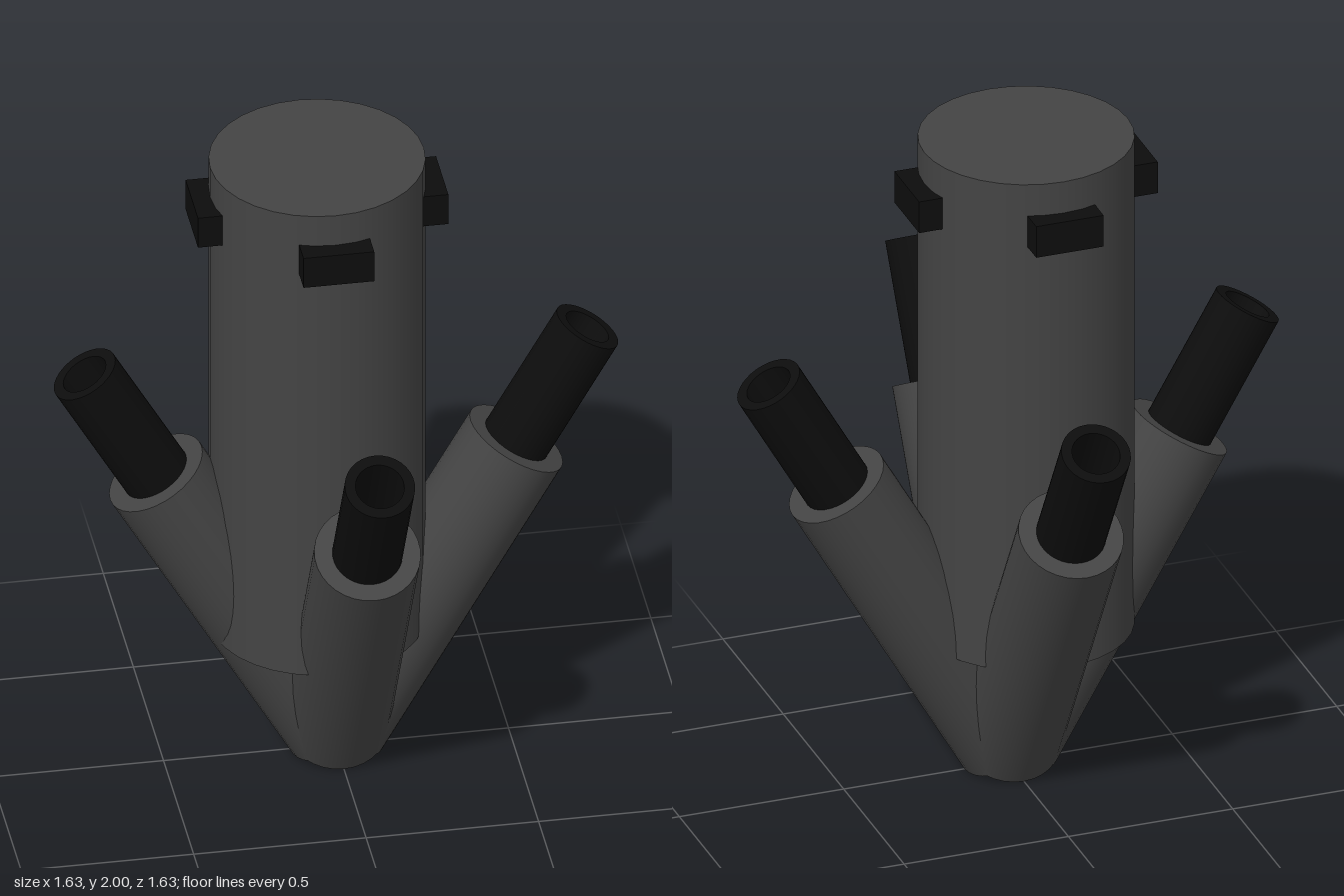
import * as THREE from 'three';
import { toCreasedNormals } from 'three/addons/utils/BufferGeometryUtils.js';

const SEGMENTS = 32;
const BODY_X = -0.055, BODY_R = 0.31, BODY_BOTTOM = 0.44, BODY_TOP = 2;
const SOCKET_R = 0.153, SOCKET_LENGTH = 1.045;
const TUBE_R = 0.101, BORE_R = 0.07, TUBE_END = 1.458;
const TILT = Math.PI / 6;

export function createModel() {
  const model = new THREE.Group();
  model.name = 'model';
  const grey = new THREE.MeshStandardMaterial({ color: 0x444444 });
  const black = new THREE.MeshStandardMaterial({ color: 0x0d0d0d });

  const add = (parent, name, geometry, material, x, y, z) => {
    const mesh = new THREE.Mesh(geometry, material);
    mesh.name = name;
    mesh.position.set(x, y, z);
    parent.add(mesh);
    return mesh;
  };

  // Upright central column, slightly off the socket centre
  const height = BODY_TOP - BODY_BOTTOM;
  add(model, 'column', new THREE.CylinderGeometry(BODY_R, BODY_R, height, SEGMENTS),
    grey, BODY_X, BODY_BOTTOM + height / 2, 0);

  const socketGeometry = new THREE.CylinderGeometry(SOCKET_R, SOCKET_R, SOCKET_LENGTH, SEGMENTS);
  // Tube with a blind bore in its outer end
  const profile = [
    [0, 0.9], [TUBE_R, 0.9], [TUBE_R, TUBE_END],
    [BORE_R, TUBE_END], [BORE_R, 1.05], [0, 1.05],
  ].map(([r, y]) => new THREE.Vector2(r, y));
  const tubeGeometry = toCreasedNormals(new THREE.LatheGeometry(profile, SEGMENTS), 0.6);
  const lugGeometry = new THREE.BoxGeometry(0.085, 0.1, 0.205);

  ['left', 'back', 'right', 'front'].forEach((side, i) => {
    const turn = i * Math.PI / 2;

    // Slanted arm: socket and tube share one axis leaning outward
    const turned = new THREE.Group();
    turned.name = side + 'Arm';
    turned.rotation.y = turn;
    const arm = new THREE.Group();
    arm.name = side + 'ArmAxis';
    arm.position.y = SOCKET_R * Math.sin(TILT);
    arm.rotation.z = -TILT;
    add(arm, side + 'Socket', socketGeometry, grey, 0, SOCKET_LENGTH / 2, 0);
    add(arm, side + 'Tube', tubeGeometry, black, 0, 0, 0);
    turned.add(arm);
    model.add(turned);

    // Small block on the column near its top
    const lug = add(model, side + 'Lug', lugGeometry, black,
      BODY_X + 0.3205 * Math.cos(turn), 1.85, -0.3205 * Math.sin(turn));
    lug.rotation.y = turn;
  });

  return model;
}
